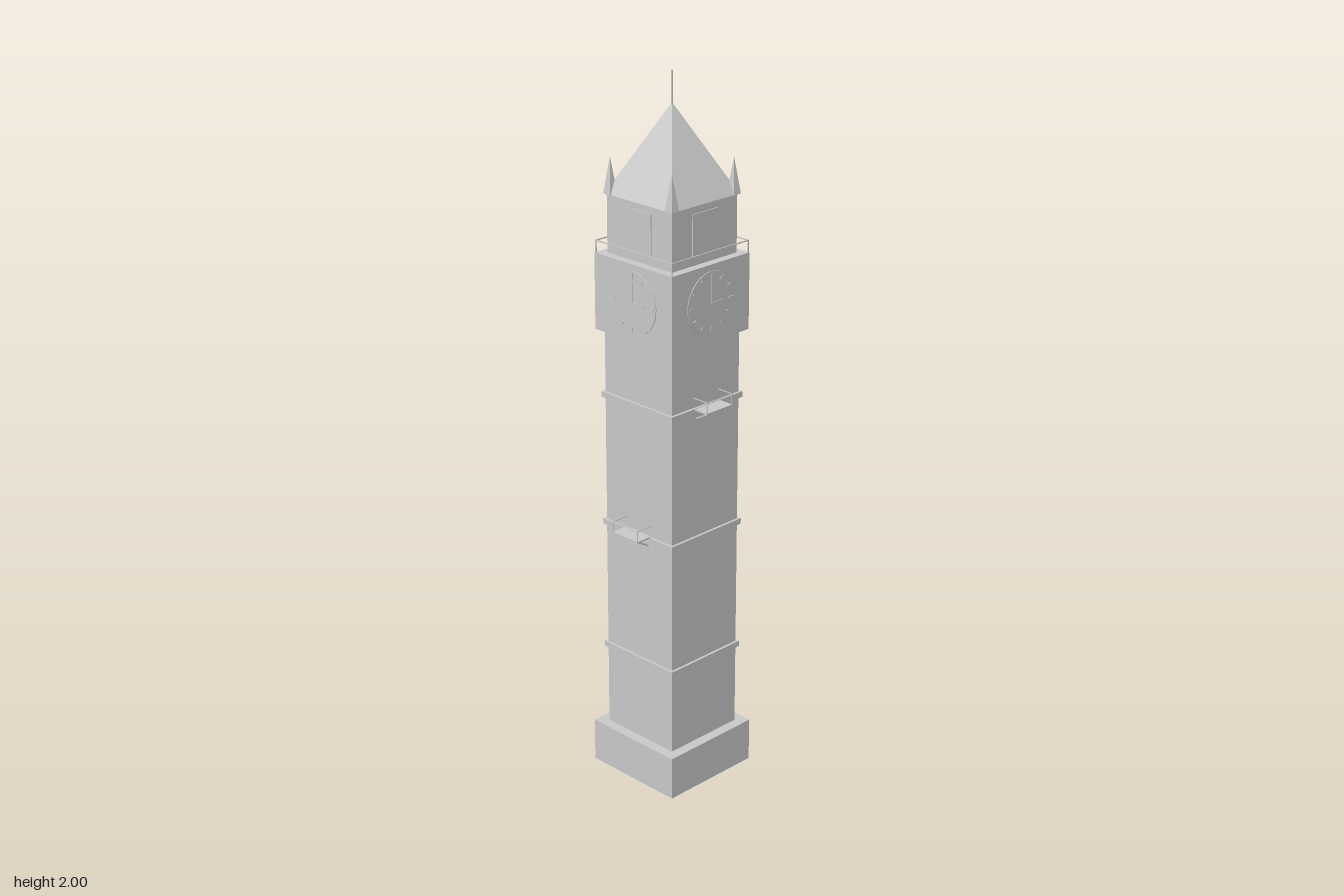
import * as THREE from 'three';

export function createModel() {
  const model = new THREE.Group();
  const stone = new THREE.MeshStandardMaterial({ color: 0xcccccc });
  stone.name = 'stone grey';

  // All helpers place parts relative to the tower axis
  const tower = new THREE.Group();
  tower.name = 'clockTower';
  tower.position.set(-0.0125, 0, -0.0125);
  model.add(tower);

  function add(parent, name, geometry, x = 0, y = 0, z = 0) {
    const mesh = new THREE.Mesh(geometry, stone);
    mesh.name = name;
    mesh.position.set(x, y, z);
    parent.add(mesh);
    return mesh;
  }
  const box = (parent, name, w, h, d, x, y, z) =>
    add(parent, name, new THREE.BoxGeometry(w, h, d), x, y, z);
  const block = (name, half, y0, y1) =>
    box(tower, name, half * 2, y1 - y0, half * 2, 0, (y0 + y1) / 2, 0);

  // Four-sided pyramid with its sides square to the axes
  function pyramid(name, half, y0, y1, x = 0, z = 0) {
    const g = new THREE.ConeGeometry(half * Math.SQRT2, y1 - y0, 4).toNonIndexed();
    g.rotateY(Math.PI / 4);
    g.computeVertexNormals();
    return add(tower, name, g, x, (y0 + y1) / 2, z);
  }

  // Group whose local +z is the outward direction of one tower side
  function side(name, turn) {
    const g = new THREE.Group();
    g.name = name;
    g.rotation.y = turn * Math.PI / 2;
    tower.add(g);
    return g;
  }

  // Main masses
  block('plinth', 0.155, 0, 0.125);
  block('shaft', 0.1255, 0.125, 1.305);
  for (const y of [0.37, 0.747, 1.12]) block('stringCourse', 0.133, y - 0.008, y + 0.008);
  block('clockStage', 0.143, 1.305, 1.517);
  block('belfry', 0.119, 1.517, 1.676);

  // Roof, corner pinnacles and spire
  pyramid('roof', 0.123, 1.676, 1.917);
  for (const x of [-1, 1]) for (const z of [-1, 1])
    pyramid('pinnacle', 0.013, 1.676, 1.775, x * 0.1125, z * 0.1125);
  add(tower, 'spire', new THREE.CylinderGeometry(0.0025, 0.0025, 0.09, 8), 0, 1.955, 0);

  // Clock with hour marks and hands at three o'clock
  function clock(parent) {
    const dial = new THREE.Group();
    dial.name = 'clock';
    dial.position.set(0, 1.413, 0.143);
    parent.add(dial);
    const disc = new THREE.CylinderGeometry(0.087, 0.087, 0.003, 40);
    disc.rotateX(Math.PI / 2);
    add(dial, 'clockFace', disc, 0, 0, 0.0005);
    for (let i = 0; i < 12; i++) {
      const a = i * Math.PI / 6;
      const long = i % 3 === 0;
      const mark = box(dial, 'hourMark', long ? 0.006 : 0.004, long ? 0.018 : 0.012, 0.002,
        Math.sin(a) * 0.072, Math.cos(a) * 0.072, 0.003);
      mark.rotation.z = -a;
    }
    box(dial, 'minuteHand', 0.004, 0.06, 0.002, 0, 0.03, 0.0035);
    box(dial, 'hourHand', 0.042, 0.006, 0.002, 0.021, 0, 0.0035);
  }

  // Details repeated on every side
  for (let i = 0; i < 4; i++) {
    const s = side('towerSide', i);
    clock(s);
    box(s, 'belfryWindow', 0.092, 0.115, 0.004, 0, 1.598, 0.12);
    box(s, 'galleryRail', 0.282, 0.003, 0.003, 0, 1.55, 0.14);
    box(s, 'galleryPost', 0.003, 0.034, 0.003, 0.14, 1.533, 0.14);
  }

  // Railed balcony on two sloping brackets
  function balcony(turn, y) {
    const b = side('balcony', turn);
    const inner = 0.1255, outer = 0.1775, depth = outer - inner, mid = (inner + outer) / 2;
    box(b, 'balconyFloor', 0.095, 0.004, depth, 0, y, mid);
    box(b, 'balconyFrontRail', 0.095, 0.002, 0.002, 0, y + 0.032, outer - 0.001);
    for (const x of [-1, 1]) {
      box(b, 'balconySideRail', 0.002, 0.002, depth, x * 0.0465, y + 0.032, mid);
      box(b, 'balconyPost', 0.002, 0.032, 0.002, x * 0.0465, y + 0.016, outer - 0.001);
      const brace = box(b, 'balconyBracket', 0.007, 0.004, 0.053, x * 0.0335, y - 0.016, mid - 0.003);
      brace.rotation.x = -0.52;
    }
  }
  balcony(0, 0.755);
  balcony(1, 1.125);

  return model;
}
